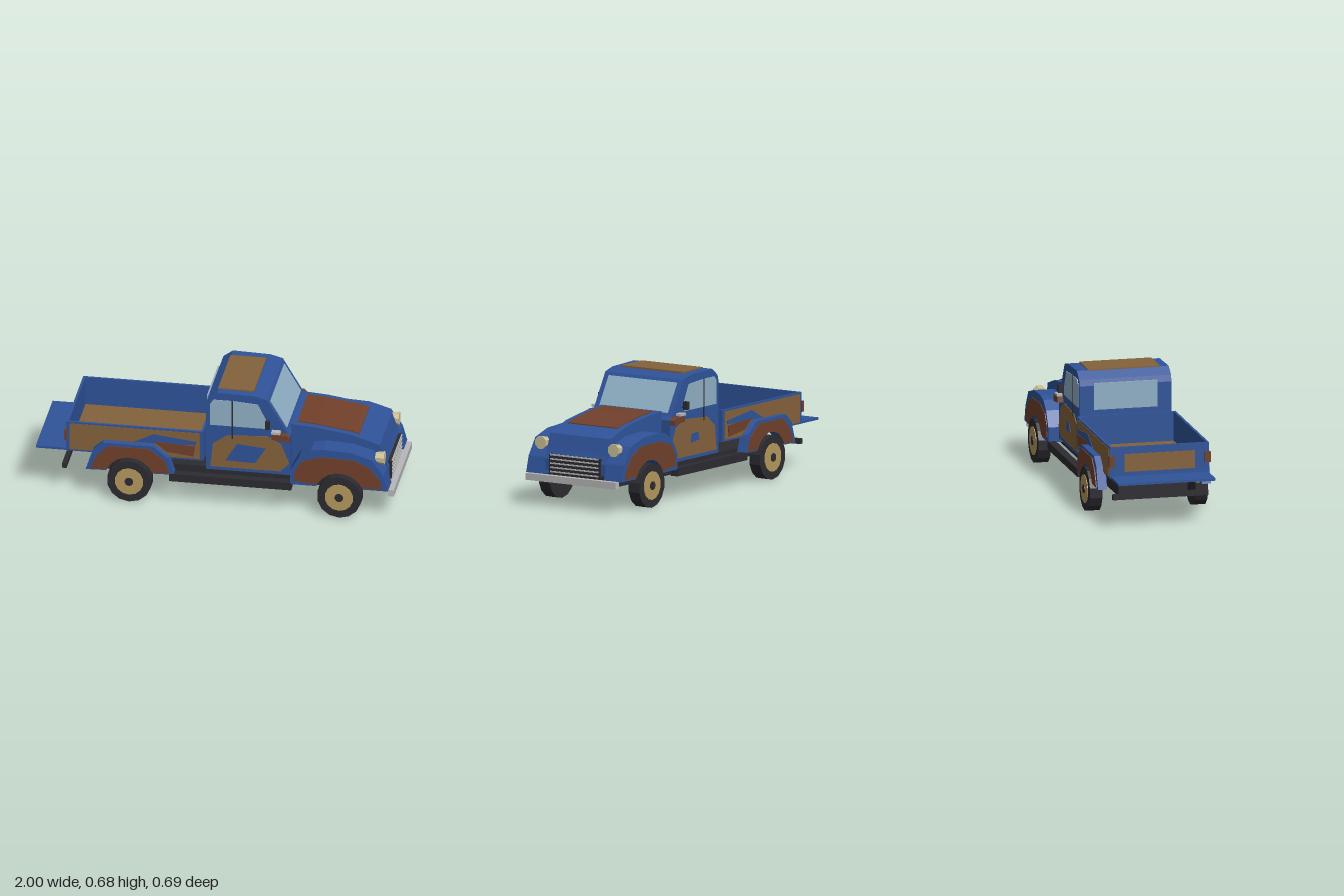
import * as THREE from 'three';

const mat = (name, color) => {
  const m = new THREE.MeshStandardMaterial({ color });
  m.name = name;
  return m;
};

export function createModel() {
  const blue = mat('blue paint', 0x2f5399);
  const rust = mat('dark rust', 0x71402b);
  const brown = mat('brown rust', 0x84623c);
  const dark = mat('dark rubber', 0x2b2b31);
  const silver = mat('silver metal', 0xb8b8ba);
  const glass = mat('glass', 0x90b0c6);
  const cream = mat('lamp lens', 0xcdc298);
  const tan = mat('tan wheel disc', 0xb5985e);

  const truck = new THREE.Group();
  truck.name = 'pickupTruck';

  const add = (name, geo, material) => {
    const m = new THREE.Mesh(geo, material);
    m.name = name;
    truck.add(m);
    return m;
  };
  // Box given by its limits on each axis
  const box = (name, material, x0, x1, y0, y1, z0, z1) =>
    add(name, new THREE.BoxGeometry(x1 - x0, y1 - y0, z1 - z0)
      .translate((x0 + x1) / 2, (y0 + y1) / 2, (z0 + z1) / 2), material);
  // Side profile (x, y) extruded from z0 to z1
  const slab = (name, material, pts, z0, z1) => {
    const shape = new THREE.Shape(pts.map(p => new THREE.Vector2(p[0], p[1])));
    const geo = new THREE.ExtrudeGeometry(shape, { depth: z1 - z0, bevelEnabled: false });
    return add(name, geo.translate(0, 0, z0), material);
  };
  // The same parts repeated on both sides
  const boxes = (n, m, x0, x1, y0, y1, z0, z1) => {
    box(n, m, x0, x1, y0, y1, z0, z1);
    box(n, m, x0, x1, y0, y1, -z1, -z0);
  };
  const slabs = (n, m, pts, z0, z1) => {
    slab(n, m, pts, z0, z1);
    slab(n, m, pts, -z1, -z0);
  };
  // Wheel arch points, running from front to rear
  const arch = (cx, r, y) => {
    const a0 = Math.asin((y - 0.125) / r), pts = [];
    for (let i = 0; i <= 7; i++) {
      const a = a0 + (Math.PI - 2 * a0) * i / 7;
      pts.push([cx + r * Math.cos(a), 0.125 + r * Math.sin(a)]);
    }
    return pts;
  };

  // Chassis, running boards and bumpers
  box('chassis', dark, -0.68, 0.83, 0.12, 0.182, -0.195, 0.195);
  boxes('runningBoard', dark, -0.25, 0.43, 0.137, 0.182, 0.275, 0.32);
  box('frontBumper', silver, 0.967, 1.0, 0.138, 0.176, -0.3, 0.3);
  box('rearBumper', dark, -0.855, -0.83, 0.143, 0.172, -0.27, 0.27);

  // Cab
  slab('cab', blue, [[-0.055, 0.2], [0.415, 0.2], [0.415, 0.44], [0.4, 0.457], [0.286, 0.65],
    [0.217, 0.668], [0.008, 0.674], [-0.045, 0.635], [-0.055, 0.6]], -0.26, 0.26);
  box('roofPatch', brown, 0.005, 0.205, 0.668, 0.678, -0.197, 0.21);
  slab('windshield', glass, [[0.387, 0.473], [0.393, 0.477], [0.301, 0.634], [0.295, 0.63]], -0.228, 0.228);
  box('rearWindow', glass, -0.062, -0.054, 0.465, 0.615, -0.18, 0.18);
  slabs('rearSideWindow', glass, [[-0.03, 0.475], [0.088, 0.475], [0.088, 0.63], [-0.012, 0.63],
    [-0.03, 0.605]], 0.258, 0.264);
  slabs('frontSideWindow', glass, [[0.097, 0.475], [0.282, 0.475], [0.28, 0.53], [0.235, 0.62],
    [0.097, 0.63]], 0.258, 0.264);
  boxes('windowDivider', dark, 0.088, 0.097, 0.4, 0.63, 0.258, 0.266);

  // Doors with worn patches, handles and mirrors
  slabs('doorPatch', brown, [[-0.03, 0.22], [0.36, 0.22], [0.41, 0.27], [0.365, 0.385], [0.285, 0.43],
    [0.06, 0.415], [-0.015, 0.36]], 0.258, 0.264);
  slab('doorPaintPatch', blue, [[0.055, 0.265], [0.22, 0.26], [0.28, 0.355], [0.12, 0.37]], 0.262, 0.267);
  slab('doorPaintPatch', blue, [[0.14, 0.3], [0.22, 0.29], [0.21, 0.34], [0.15, 0.345]], -0.267, -0.262);
  slabs('hingePatch', rust, [[0.315, 0.425], [0.415, 0.413], [0.415, 0.44], [0.4, 0.455],
    [0.32, 0.455]], 0.26, 0.292);
  boxes('doorHandle', silver, 0.315, 0.365, 0.46, 0.474, 0.264, 0.297);
  boxes('mirror', dark, 0.28, 0.305, 0.487, 0.532, 0.27, 0.296);
  boxes('mirrorArm', dark, 0.288, 0.297, 0.495, 0.503, 0.25, 0.275);

  // Hood and nose
  slab('hood', blue, [[0.41, 0.195], [0.955, 0.195], [0.955, 0.26], [0.935, 0.31], [0.905, 0.397],
    [0.75, 0.447], [0.55, 0.476], [0.41, 0.486]], -0.202, 0.202);
  slab('hoodPatch', rust, [[0.44, 0.479], [0.55, 0.471], [0.75, 0.442], [0.785, 0.432], [0.785, 0.441],
    [0.75, 0.452], [0.55, 0.481], [0.44, 0.489]], -0.165, 0.165);

  // Grille
  box('grille', dark, 0.945, 0.965, 0.182, 0.288, -0.17, 0.17);
  for (let i = 0; i < 5; i++) {
    const y = 0.189 + i * 0.0235;
    box('grilleSlat', silver, 0.964, 0.97, y, y + 0.008, -0.16, 0.16);
  }

  // Front fenders
  slabs('frontFender', blue, [[0.425, 0.175], [0.425, 0.26], [0.475, 0.345], [0.54, 0.39], [0.61, 0.402],
    [0.76, 0.395], [0.88, 0.36], [0.945, 0.265], [0.97, 0.175], ...arch(0.7, 0.14, 0.175)], 0.2, 0.318);
  slabs('frontFenderPatch', rust, [[0.445, 0.2], [0.455, 0.27], [0.495, 0.325], [0.6, 0.355], [0.78, 0.35],
    [0.865, 0.31], [0.925, 0.24], [0.935, 0.185], ...arch(0.7, 0.14, 0.185)], 0.316, 0.322);

  // Headlights
  for (const s of [-1, 1]) {
    const lamp = new THREE.CylinderGeometry(0.038, 0.03, 0.05, 8).toNonIndexed();
    lamp.computeVertexNormals();
    lamp.rotateY(Math.PI / 8).rotateZ(-Math.PI / 2).translate(0.915, 0.342, s * 0.243);
    add('headlight', lamp, cream);
  }

  // Cargo bed
  box('bedFloor', brown, -0.815, -0.075, 0.256, 0.27, -0.268, 0.268);
  boxes('bedSide', blue, -0.83, -0.065, 0.258, 0.435, 0.266, 0.28);
  box('bedFrontWall', blue, -0.079, -0.065, 0.258, 0.435, -0.266, 0.266);
  box('bedRearWall', blue, -0.83, -0.816, 0.258, 0.435, -0.266, 0.266);
  box('rearWallPatch', brown, -0.835, -0.829, 0.295, 0.395, -0.2, 0.2);
  box('tailgate', blue, -1.0, -0.82, 0.257, 0.27, -0.275, 0.275);
  boxes('tailLight', rust, -0.842, -0.825, 0.325, 0.385, 0.255, 0.287);
  slabs('bedSidePatch', brown, [[-0.81, 0.268], [-0.085, 0.268], [-0.085, 0.425], [-0.81, 0.425]], 0.278, 0.283);
  slabs('bedPaintPatch', blue, [[-0.45, 0.345], [-0.3, 0.345], [-0.11, 0.352], [-0.1, 0.372],
    [-0.34, 0.4]], 0.282, 0.286);
  slabs('bedRustPatch', rust, [[-0.27, 0.3], [-0.12, 0.283], [-0.11, 0.345], [-0.34, 0.357]], 0.282, 0.288);

  // Rear fenders
  slabs('rearFender', blue, [[-0.715, 0.172], [-0.675, 0.295], [-0.62, 0.342], [-0.34, 0.342], [-0.255, 0.275],
    [-0.222, 0.178], ...arch(-0.47, 0.14, 0.175)], 0.268, 0.32);
  slabs('rearFenderPatch', rust, [[-0.69, 0.18], [-0.65, 0.265], [-0.585, 0.325], [-0.36, 0.325], [-0.275, 0.26],
    [-0.248, 0.185], ...arch(-0.47, 0.14, 0.182)], 0.318, 0.325);

  // Wheels with disc and hub cap
  for (const x of [-0.47, 0.7]) for (const s of [-1, 1]) {
    const ring = (name, r, z0, z1, m) => {
      const geo = new THREE.CylinderGeometry(r, r, z1 - z0, 14).toNonIndexed();
      geo.computeVertexNormals();
      add(name, geo.rotateX(Math.PI / 2).translate(x, 0.124, s * (z0 + z1) / 2), m);
    };
    ring('tyre', 0.124, 0.264, 0.335, dark);
    ring('wheelDisc', 0.08, 0.3, 0.339, tan);
    ring('hubCap', 0.024, 0.3, 0.343, dark);
  }

  return truck;
}
